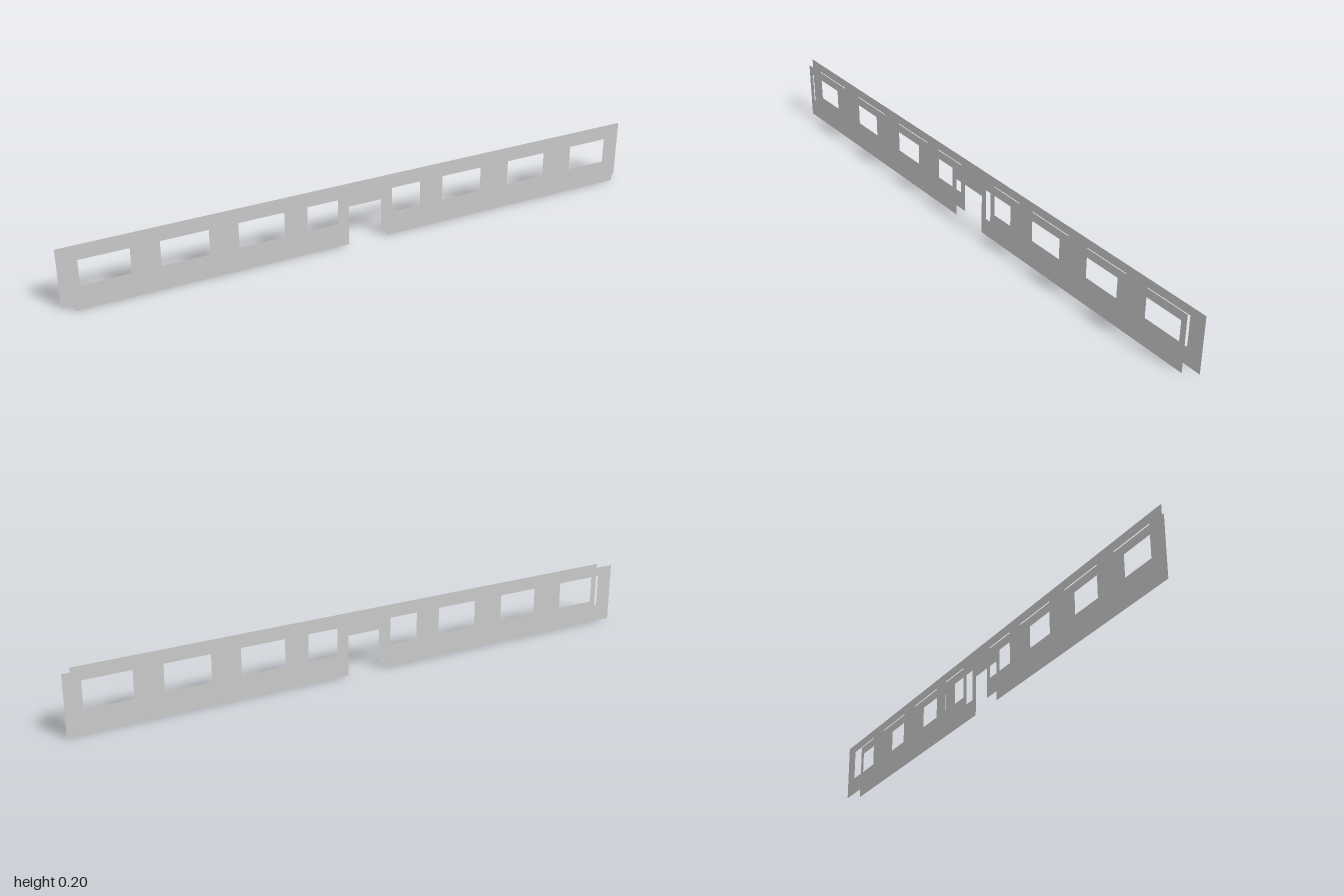
import * as THREE from 'three';

const HEIGHT = 0.2;
const GAP = 0.035; // distance between the two wall skins
const DOOR = { half: 0.067, top: 0.137 };
const SILL = 0.062, HEAD = 0.169;
// inner and outer x of the windows on one half
const WINDOWS = [[0.088, 0.211], [0.275, 0.442], [0.526, 0.693], [0.777, 0.944]];

function rectPath(x0, x1, y0, y1) {
  return new THREE.Path([[x0, y0], [x1, y0], [x1, y1], [x0, y1]].map(([x, y]) => new THREE.Vector2(x, y)));
}

// Flat wall sheet with a doorway notch and mirrored window openings
function wallSheet(name, halfWidth, z, material) {
  const { half, top } = DOOR;
  const outline = [
    [-halfWidth, 0], [-half, 0], [-half, top], [half, top], [half, 0],
    [halfWidth, 0], [halfWidth, HEIGHT], [-halfWidth, HEIGHT],
  ];
  const shape = new THREE.Shape(outline.map(([x, y]) => new THREE.Vector2(x, y)));
  for (const [a, b] of WINDOWS) {
    shape.holes.push(rectPath(a, b, SILL, HEAD), rectPath(-b, -a, SILL, HEAD));
  }
  const mesh = new THREE.Mesh(new THREE.ShapeGeometry(shape), material);
  mesh.name = name;
  mesh.position.z = z;
  return mesh;
}

export function createModel() {
  const group = new THREE.Group();
  group.name = 'windowWall';
  const material = new THREE.MeshStandardMaterial({ color: 0xcccccc, side: THREE.DoubleSide });

  // Shorter front skin and full-length back skin
  group.add(wallSheet('frontWallSkin', 1 - GAP, GAP / 2, material));
  group.add(wallSheet('backWallSkin', 1, -GAP / 2, material));
  return group;
}
